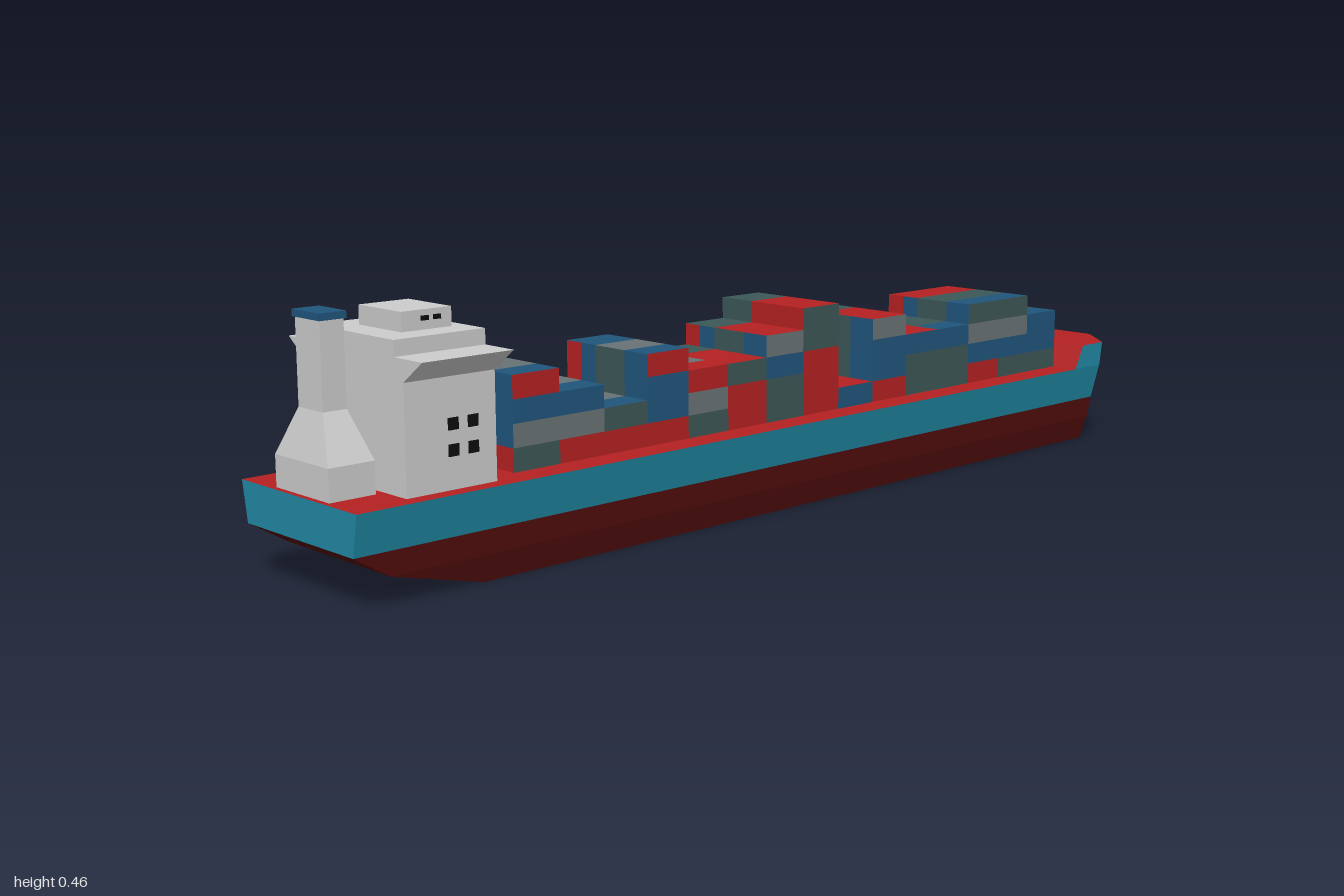
import * as THREE from 'three';
import { mergeGeometries } from 'three/addons/utils/BufferGeometryUtils.js';

const mat = (name, color) => Object.assign(new THREE.MeshStandardMaterial({ color }), { name });

export function createModel() {
  const M = {
    R: mat('red', 0xb52121), B: mat('blue', 0x20557c), D: mat('dark green', 0x3c5656),
    G: mat('grey', 0x687274), teal: mat('teal', 0x2088a4), maroon: mat('maroon', 0x540d0d),
    white: mat('white', 0xcccccc), black: mat('black', 0x0c0c0c),
  };
  const ship = new THREE.Group();
  ship.name = 'cargoShip';

  const add = (name, geo, material, parent = ship) => {
    const m = new THREE.Mesh(geo, material);
    m.name = name;
    parent.add(m);
    return m;
  };
  // Box given by its limits on each axis
  const box = (x0, x1, y0, y1, z0, z1) =>
    new THREE.BoxGeometry(x1 - x0, y1 - y0, z1 - z0)
      .translate((x0 + x1) / 2, (y0 + y1) / 2, (z0 + z1) / 2);
  // Flat-faced geometry from a list of quads
  const quads = (list) => {
    const pos = [];
    for (const [a, b, c, d] of list) {
      for (const tri of [[a, b, c], [a, c, d]]) {
        const t = new THREE.Triangle(...tri.map((p) => new THREE.Vector3(...p)));
        if (t.getArea() > 1e-8) tri.forEach((p) => pos.push(...p));
      }
    }
    const g = new THREE.BufferGeometry();
    g.setAttribute('position', new THREE.Float32BufferAttribute(pos, 3));
    g.computeVertexNormals();
    return g;
  };

  // Hull: waterlines as [y, stern x, half width, bow corner x, nose x, nose half width]
  const lines = [
    [0, -0.74, 0.135, 0.895, 0.955, 0.063],
    [0.05, -0.93, 0.15, 0.9, 0.965, 0.07],
    [0.093, -1, 0.154, 0.907, 0.977, 0.073],
    [0.165, -1, 0.167, 0.917, 0.99, 0.078],
    [0.214, -1, 0.167, 0.925, 1, 0.08],
  ];
  const flip = ([x, y, z]) => [x, y, -z];
  const halves = lines.map(([y, stern, w, corner, nose, n]) => {
    const low = Math.min(y, 0.165); // the main deck stays below the forecastle
    return [[stern, low, w], [0.83, low, w], [0.855, y, w], [corner, y, w], [nose, y, n]];
  });
  const rings = halves.map((h) => [...h, ...h.map(flip).reverse()]);
  const skin = (from, to) => {
    const list = [];
    for (let k = from; k < to; k++) {
      rings[k].forEach((p, i) => {
        const j = (i + 1) % rings[k].length;
        list.push([p, rings[k][j], rings[k + 1][j], rings[k + 1][i]]);
      });
    }
    return list;
  };
  const cap = (h, up) => h.slice(1).map((p, i) => {
    const q = [h[i], p, flip(p), flip(h[i])];
    return up ? q : q.reverse();
  });
  add('lowerHull', quads([...skin(0, 2), ...cap(halves[0], false)]), M.maroon);
  add('upperHull', quads(skin(2, 4)), M.teal);
  add('deck', quads(cap(halves[4], true)), M.R);

  // Bridge tower with flared wings, extruded along the ship
  const bridge = new THREE.Group();
  bridge.name = 'bridge';
  ship.add(bridge);
  const edge = [[0.138, 0.165], [0.138, 0.35], [0.19, 0.388], [0.115, 0.388], [0.115, 0.415]];
  const outline = [...edge, ...edge.map(([z, y]) => [-z, y]).reverse()];
  const tower = new THREE.ExtrudeGeometry(
    new THREE.Shape(outline.map(([z, y]) => new THREE.Vector2(z, y))),
    { depth: 0.177, bevelEnabled: false });
  tower.rotateY(Math.PI / 2).translate(-0.888, 0, 0);
  add('tower', tower, M.white, bridge);
  add('wheelhouse', box(-0.835, -0.737, 0.415, 0.448, -0.06, 0.06), M.white, bridge);

  // Windows: thin panes, side panes mirrored to both sides
  const panes = [];
  const sidePane = (x, y, w, h, z) => {
    for (const s of [-1, 1]) {
      panes.push(box(x - w / 2, x + w / 2, y - h / 2, y + h / 2, s * z - 0.002, s * z + 0.002));
    }
  };
  const frontPane = (z, y, w, h, x) =>
    panes.push(box(x - 0.002, x + 0.002, y - h / 2, y + h / 2, z - w / 2, z + w / 2));
  for (const y of [0.273, 0.23]) {
    for (const x of [-0.796, -0.757]) sidePane(x, y, 0.02, 0.02, 0.138);
  }
  for (const x of [-0.79, -0.766]) sidePane(x, 0.434, 0.015, 0.008, 0.06);
  for (const z of [-0.016, 0.016]) frontPane(z, 0.431, 0.02, 0.016, -0.737);
  for (const z of [-0.062, 0, 0.062]) frontPane(z, 0.402, 0.02, 0.016, -0.711);
  for (const z of [-0.137, 0.137]) frontPane(z, 0.366, 0.026, 0.014, -0.711);
  for (const y of [0.225, 0.283]) {
    for (const z of [-0.1, 0.1]) frontPane(z, y, 0.02, 0.01, -0.711);
  }
  add('windows', mergeGeometries(panes), M.black, bridge);

  // Funnel: base, tapered shoulder, column and cap
  const funnel = new THREE.Group();
  funnel.name = 'funnel';
  ship.add(funnel);
  const levels = [[0.165, 0.043, 0.077], [0.22, 0.043, 0.077], [0.3, 0.022, 0.035], [0.446, 0.022, 0.035]];
  const loops = levels.map(([y, hx, hz]) =>
    [[-1, 1], [1, 1], [1, -1], [-1, -1]].map(([sx, sz]) => [-0.947 + sx * hx, y, sz * hz]));
  const faces = [loops[3]];
  for (let k = 0; k < 3; k++) {
    for (let i = 0; i < 4; i++) {
      const j = (i + 1) % 4;
      faces.push([loops[k][i], loops[k][j], loops[k + 1][j], loops[k + 1][i]]);
    }
  }
  add('funnelStack', quads(faces), M.white, funnel);
  add('funnelCap', box(-0.972, -0.922, 0.445, 0.457, -0.039, 0.039), M.B, funnel);

  // Containers: one string per bay, colours from the lowest tier upwards
  const cargo = new THREE.Group();
  cargo.name = 'containers';
  ship.add(cargo);
  const bays = ['DGBR', 'RGB', 'RD', 'RBBR', 'DGR', 'RRD', 'DDBG', 'RRRDD',
    'B', 'RBBG', 'DDB', 'DDB', 'RBGD', 'DBGD', 'DBB'];
  const rowEdges = [0.11, 0.05, -0.03, -0.07, -0.11];
  const lids = (i) => (i < 4 ? 'BGBB' : i < 5 ? 'RGDD' : i < 11 ? 'RRDD' : i < 12 ? 'BDDD' : 'BDRR');
  const ends = ['RRBR', 'BDBR', 'BDBR', 'BDBR', 'RRDD'];
  const length = 0.0988, height = 0.0413;
  bays.forEach((tiers, i) => {
    const x = -0.655 + i * length;
    [...tiers].forEach((side, t) => {
      const y = 0.165 + t * height;
      for (let r = 0; r < 4; r++) {
        const end = M[ends[t][r]], lid = M[lids(i)[r]];
        add(`container${i + 1}_${t + 1}_${r + 1}`,
          box(x, x + length, y, y + height, rowEdges[r + 1], rowEdges[r]),
          [end, end, lid, lid, M[side], M[side]], cargo);
      }
    });
  });
  return ship;
}
